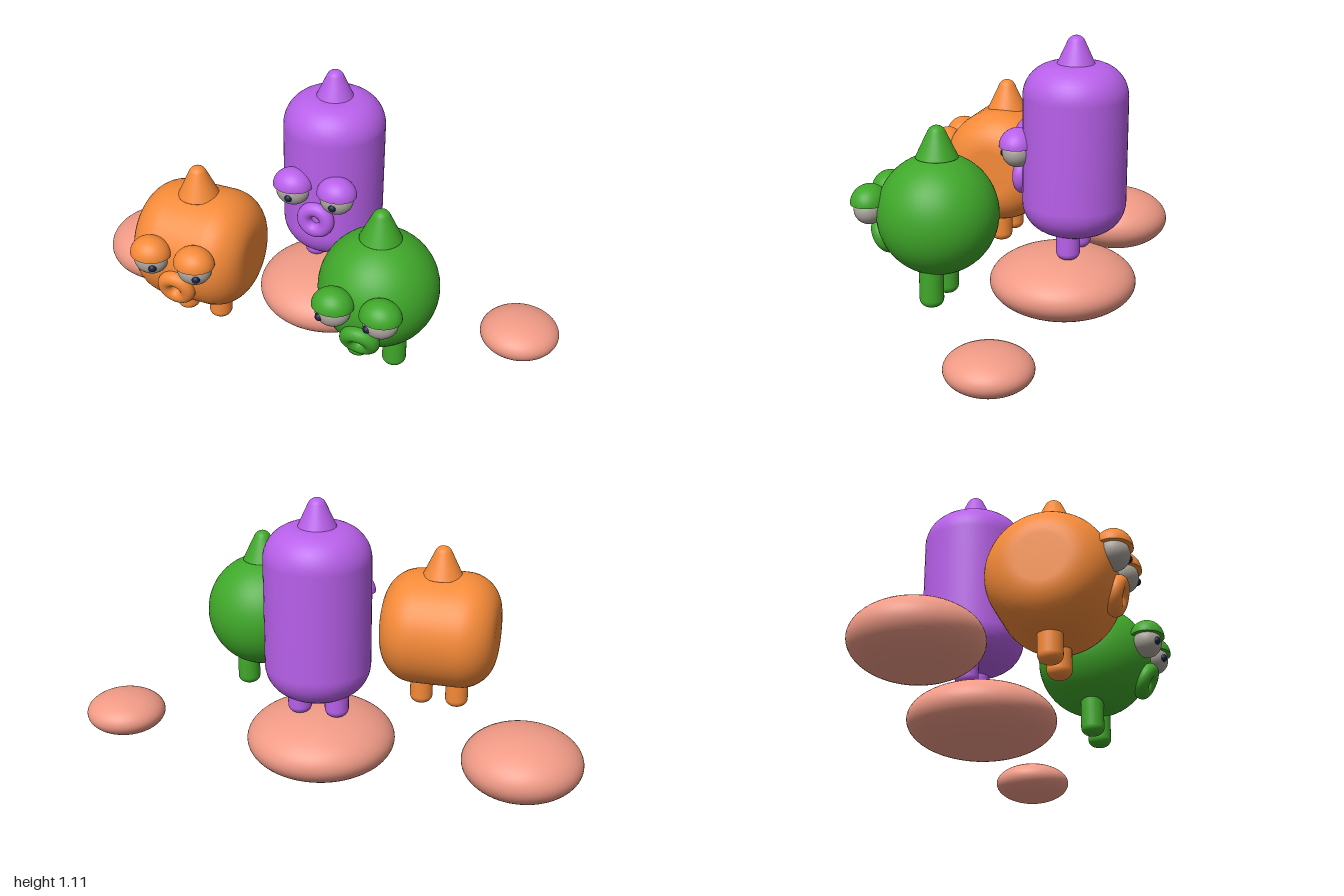
import * as THREE from 'three';

const mat = (color) => new THREE.MeshStandardMaterial({ color });
const eyeMat = mat(0xaca69e);
const pupilMat = mat(0x1a2140);
const stoneMat = mat(0xf09a86);

function add(parent, name, geometry, material, x, y, z) {
  const mesh = new THREE.Mesh(geometry, material);
  mesh.name = name;
  mesh.position.set(x, y, z);
  parent.add(mesh);
  return mesh;
}

// Upright cylinder with rounded rims, centred on its origin
function roundedCylinder(r, height, bevel, segments = 48) {
  const pts = [new THREE.Vector2(0, -height / 2)];
  for (const side of [-1, 1]) {
    for (let i = 0; i <= 10; i++) {
      const a = ((side < 0 ? i - 10 : i) / 10) * Math.PI / 2;
      pts.push(new THREE.Vector2(
        r - bevel + bevel * Math.cos(a),
        side * (height / 2 - bevel) + bevel * Math.sin(a)));
    }
  }
  pts.push(new THREE.Vector2(0, height / 2));
  return new THREE.LatheGeometry(pts, segments);
}

// Tapered horn with a rounded tip, base on its origin
function hornGeometry(r, height) {
  const tip = 0.036, slope = 0.42;
  const pts = [new THREE.Vector2(0, 0), new THREE.Vector2(r, 0), new THREE.Vector2(r, 0.001)];
  for (let i = 0; i <= 10; i++) {
    const a = slope + (i / 10) * (Math.PI / 2 - slope);
    pts.push(new THREE.Vector2(Math.max(0, tip * Math.cos(a)), height - tip + tip * Math.sin(a)));
  }
  return new THREE.LatheGeometry(pts, 40);
}

// Closed half dome for the eyelid
function lidGeometry() {
  const pts = [new THREE.Vector2(0, 0), new THREE.Vector2(0.999, 0)];
  for (let i = 0; i <= 16; i++) {
    const a = (i / 16) * Math.PI / 2;
    pts.push(new THREE.Vector2(Math.max(0, Math.cos(a)), Math.sin(a)));
  }
  return new THREE.LatheGeometry(pts, 40).scale(0.08, 0.07, 0.07);
}

function makeCreature(o) {
  const g = new THREE.Group();
  g.name = o.name;
  g.position.set(o.x, 0, o.z);
  const skin = mat(o.color);

  add(g, 'body', o.body, skin, 0, o.bodyY, 0);
  add(g, 'horn', hornGeometry(o.hornR, o.top - o.hornY), skin, 0, o.hornY, 0);

  for (const s of [-1, 1]) {
    const legH = 0.2;
    add(g, 'leg', roundedCylinder(0.046, legH, 0.03, 28), skin, s * 0.073, o.legY + legH / 2, 0);

    // Eye: ball, half-closed lid and pupil
    const eye = new THREE.Group();
    eye.name = s > 0 ? 'leftEye' : 'rightEye';
    eye.position.set(s * 0.092, o.eyeY, o.eyeZ);
    g.add(eye);
    add(eye, 'eyeball', new THREE.SphereGeometry(1, 36, 24).scale(0.067, 0.058, 0.058), eyeMat, 0, 0, 0);
    add(eye, 'eyelid', lidGeometry(), skin, 0, 0.024, 0);
    const py = -0.008;
    const pz = 0.058 * Math.sqrt(1 - (o.look / 0.067) ** 2 - (py / 0.058) ** 2);
    add(eye, 'pupil', new THREE.SphereGeometry(0.016, 20, 14), pupilMat, o.look, py, pz - 0.006);
  }

  // Ring-shaped mouth, tilted to follow the body
  const mouth = add(g, 'mouth', new THREE.TorusGeometry(0.047, 0.03, 20, 40), skin, 0.006, o.mouthY, o.mouthZ);
  mouth.rotation.x = o.mouthTilt;
  return g;
}

export function createModel() {
  const model = new THREE.Group();
  model.name = 'threeCreatures';

  // Tall upright cylinder creature on the middle stone
  model.add(makeCreature({
    name: 'tallCreature', color: 0xb860ea, x: 0.014, z: -0.24,
    body: roundedCylinder(0.201, 0.664, 0.125), bodyY: 0.68,
    hornR: 0.073, hornY: 1.008, top: 1.118, legY: 0.257,
    eyeY: 0.672, eyeZ: 0.2, look: 0.003,
    mouthY: 0.559, mouthZ: 0.203, mouthTilt: 0,
  }));

  // Blocky creature: rounded cylinder lying across x
  model.add(makeCreature({
    name: 'blockyCreature', color: 0xf58a38, x: -0.377, z: 0.177,
    body: roundedCylinder(0.232, 0.46, 0.14).rotateZ(Math.PI / 2), bodyY: 0.484,
    hornR: 0.08, hornY: 0.706, top: 0.829, legY: 0.15,
    eyeY: 0.53, eyeZ: 0.235, look: 0.03,
    mouthY: 0.417, mouthZ: 0.227, mouthTilt: 0.25,
  }));

  // Round creature
  model.add(makeCreature({
    name: 'roundCreature', color: 0x40a82a, x: 0.368, z: 0.18,
    body: new THREE.SphereGeometry(0.229, 48, 32), bodyY: 0.486,
    hornR: 0.08, hornY: 0.704, top: 0.825, legY: 0.145,
    eyeY: 0.508, eyeZ: 0.234, look: -0.035,
    mouthY: 0.384, mouthZ: 0.21, mouthTilt: 0.48,
  }));

  // Flattened stones: x, horizontal radius, vertical radius
  for (const [x, r, ry] of [[-0.77, 0.23, 0.127], [0.016, 0.288, 0.131], [0.84, 0.157, 0.079]]) {
    add(model, 'stone', new THREE.SphereGeometry(1, 56, 36).scale(r, ry, r), stoneMat, x, 0.135, -0.198);
  }
  return model;
}
